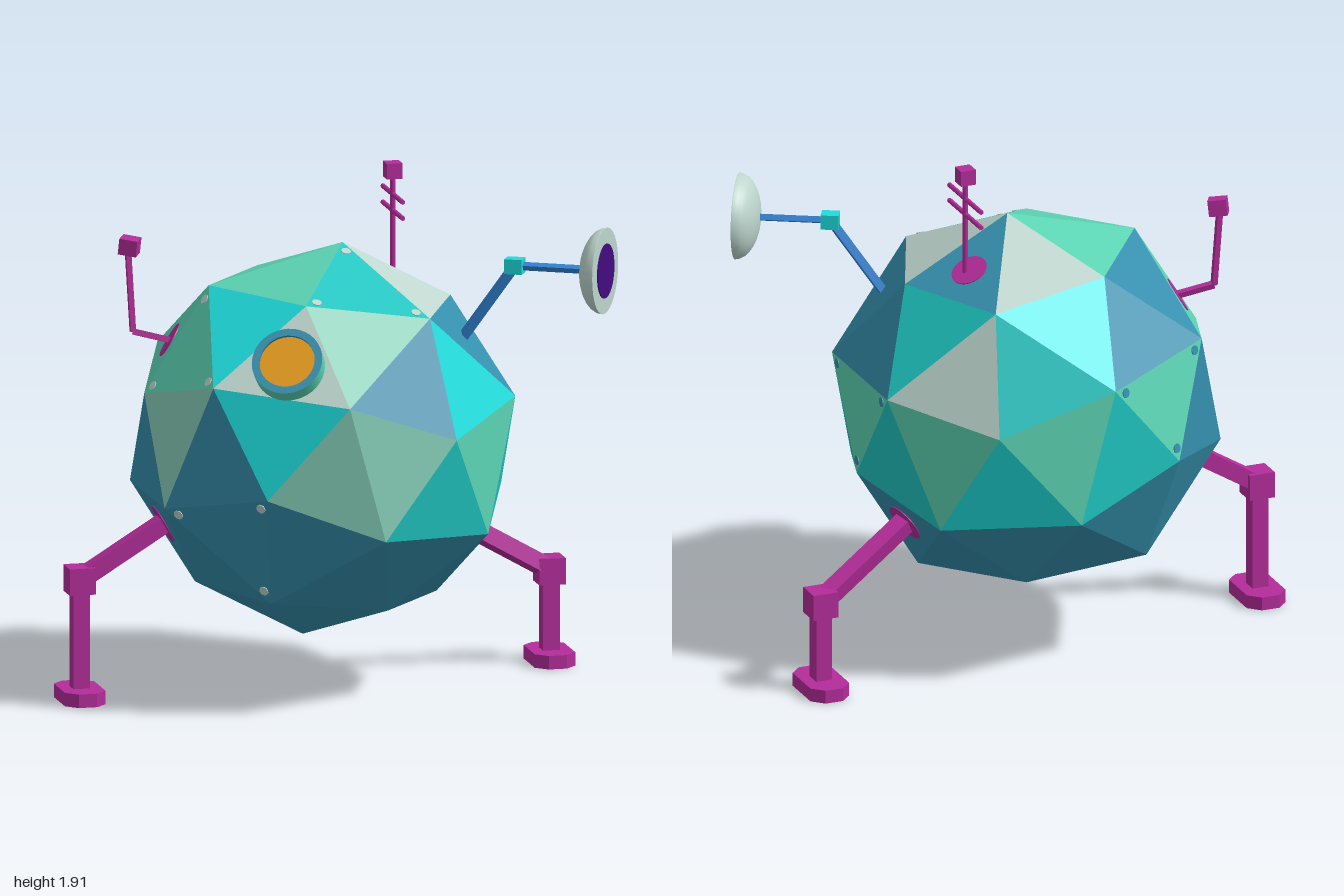
import * as THREE from 'three';

const mat = (name, color) => Object.assign(new THREE.MeshStandardMaterial({ color }), { name });
const M = {
  c: mat('cyan', 0x1edcdc),
  t: mat('turquoise', 0x20c8c4),
  m: mat('mint', 0x5cd4b4),
  p: mat('pale mint', 0x86ceb8),
  w: mat('pale grey', 0xbed6ce),
  b: mat('steel blue', 0x3590ae),
  magenta: mat('magenta', 0xb42c9a),
  arm: mat('arm blue', 0x3284d6),
  purple: mat('purple', 0x440a82),
  orange: mat('orange', 0xe59a14),
};
const V = (x, y, z) => new THREE.Vector3(x, y, z);
const UP = V(0, 1, 0);
const CENTRE = V(-0.015, 0.928, 0);

// Shell vertices: rings of [letter, polar angle, radius, azimuths]
const P = {};
const RINGS = [
  ['T', 0, 0.727, [0]],
  ['A', 37.38, 0.697, [0, 120, 240]],
  ['B', 41.81, 0.727, [60, 180, 300]],
  ['E', 70.53, 0.727, [22.24, 97.76, 142.24, 217.76, 262.24, 337.76]],
  ['G', 79.19, 0.697, [60, 180, 300]],
  ['H', 100.81, 0.697, [0, 120, 240]],
  ['K', 109.47, 0.727, [37.76, 82.24, 157.76, 202.24, 277.76, 322.24]],
  ['M', 138.19, 0.727, [0, 120, 240]],
  ['N', 142.62, 0.697, [60, 180, 300]],
  ['Z', 180, 0.727, [0]],
];
for (const [letter, polar, r, list] of RINGS) {
  for (const az of list) {
    const p = polar * Math.PI / 180, a = az * Math.PI / 180;
    P[letter + Math.round(az)] = V(Math.sin(p) * Math.cos(a), Math.cos(p), Math.sin(p) * Math.sin(a))
      .multiplyScalar(r).applyAxisAngle(V(0, 0, 1), -0.103).add(CENTRE);
  }
}

// Raised pentagons: apex, rim corners, colour of each rim edge's panel
const PENTAGONS = [
  ['A0', 'T0 B60 E22 E338 B300', 'wbbtb'],
  ['A120', 'T0 B180 E142 E98 B60', 'mcwpt'],
  ['A240', 'T0 B300 E262 E218 B180', 'wcbbm'],
  ['G60', 'B60 E98 K82 K38 E22', 'bptmc'],
  ['G300', 'B300 E338 K322 K278 E262', 'wmcmt'],
  ['G180', 'B180 E142 K158 K202 E218', 'mpbbm'],
  ['H0', 'E22 E338 K322 M0 K38', 'mtbbt'],
  ['H120', 'E142 E98 K82 M120 K158', 'cpbbb'],
  ['H240', 'E262 E218 K202 M240 K278', 'mbbbt'],
  ['N180', 'K158 K202 M240 Z0 M120', 'bbbbb'],
  ['N60', 'K82 K38 M0 Z0 M120', 'bbbbb'],
  ['N300', 'K278 K322 M0 Z0 M240', 'bbbbb'],
];

// Corners, middle and outward normal of one shell panel
function panel(...keys) {
  let pts = keys.map(k => P[k]);
  const mid = V(0, 0, 0).add(pts[0]).add(pts[1]).add(pts[2]).divideScalar(3);
  const normal = pts[1].clone().sub(pts[0]).cross(pts[2].clone().sub(pts[0])).normalize();
  if (normal.dot(mid.clone().sub(CENTRE)) < 0) {
    normal.negate();
    pts = [pts[0], pts[2], pts[1]];
  }
  return { pts, mid, normal };
}

function mesh(parent, name, geo, material, pos = V(0, 0, 0), dir = UP) {
  const m = new THREE.Mesh(geo, material);
  m.name = name;
  m.position.copy(pos);
  m.quaternion.setFromUnitVectors(UP, dir.clone().normalize());
  parent.add(m);
  return m;
}
function group(parent, name) {
  const g = new THREE.Group();
  g.name = name;
  parent.add(g);
  return g;
}
const box = (x, y = x, z = x) => new THREE.BoxGeometry(x, y, z);
const disc = (r, h, n = 32) => new THREE.CylinderGeometry(r, r, h, n);

// Square bar between two points
function bar(parent, name, a, b, t, material) {
  const d = b.clone().sub(a);
  return mesh(parent, name, box(t, d.length(), t), material, a.clone().add(b).multiplyScalar(0.5), d);
}

function buildShell(root) {
  const shell = group(root, 'shell');
  const byColour = {};
  for (const [apex, rim, colours] of PENTAGONS) {
    const keys = rim.split(' ');
    keys.forEach((k, i) => {
      const { pts } = panel(apex, k, keys[(i + 1) % 5]);
      (byColour[colours[i]] ??= []).push(...pts);
    });
  }
  for (const [c, pts] of Object.entries(byColour)) {
    const geo = new THREE.BufferGeometry().setFromPoints(pts);
    geo.computeVertexNormals();
    mesh(shell, M[c].name + ' panels', geo, M[c]);
  }
  // Rivets near the corners of some panels
  const riveted = [['H0', 'E22', 'E338', 'b'], ['A120', 'T0', 'B60', 'w'], ['H120', 'K158', 'M120', 'w'],
    ['G180', 'B180', 'E142', 'w'], ['H240', 'E262', 'E218', 'b']];
  for (const [a, b, c, colour] of riveted) {
    const f = panel(a, b, c);
    for (const p of f.pts) mesh(shell, 'rivet', disc(0.018, 0.006, 12), M[colour], p.clone().lerp(f.mid, 0.2), f.normal);
  }
}

function buildPorthole(root) {
  const g = group(root, 'porthole');
  const f = panel('A120', 'E142', 'E98');
  const at = h => f.mid.clone().addScaledVector(f.normal, h);
  const lathe = pts => new THREE.LatheGeometry(pts.map(p => new THREE.Vector2(...p)), 36);
  mesh(g, 'porthole collar', lathe([[0.13, -0.02], [0.13, 0.06]]), M.m, at(0), f.normal);
  mesh(g, 'porthole rim', lathe([[0.13, 0.06], [0.102, 0.06]]), M.b, at(0), f.normal);
  mesh(g, 'porthole inner wall', lathe([[0.102, 0.06], [0.102, 0.045]]), M.b, at(0), f.normal);
  mesh(g, 'porthole glass', disc(0.102, 0.008), M.orange, at(0.045), f.normal);
}

function buildDish(root) {
  const g = group(root, 'dish');
  const f = panel('A0', 'B60', 'E22');
  const elbow = V(0.627, 1.598, 0.308), rim = V(0.922, 1.598, 0.477), dir = V(0.85, 0, 0.52).normalize();
  bar(g, 'lower dish arm', f.mid.clone().addScaledVector(f.normal, -0.02), elbow, 0.03, M.arm);
  mesh(g, 'dish elbow', box(0.066, 0.055, 0.055), M.c, elbow).rotation.y = -0.5;
  bar(g, 'upper dish arm', elbow, rim.clone().addScaledVector(dir, -0.07), 0.022, M.arm);
  const bowl = [];
  for (let i = 0; i <= 8; i++) {
    const t = i / 8 * Math.PI / 2;
    bowl.push(new THREE.Vector2(0.158 * Math.sin(t), -0.085 * Math.cos(t)));
  }
  mesh(g, 'dish bowl', new THREE.LatheGeometry(bowl, 36), M.w, rim, dir);
  mesh(g, 'dish face', disc(0.158, 0.002, 36), M.w, rim, dir);
  mesh(g, 'dish receiver', disc(0.1, 0.006, 36), M.purple, rim.clone().addScaledVector(dir, 0.002), dir);
}

function buildAntennas(root) {
  // Straight mast with two cross bars
  const mast = group(root, 'mast');
  const f = panel('T0', 'B300', 'A0');
  const x = 0.281, z = -0.134;
  mesh(mast, 'mast plate', disc(0.068, 0.007), M.magenta, f.mid, f.normal);
  mesh(mast, 'mast rod', disc(0.01, 0.37, 10), M.magenta, V(x, 1.68, z));
  mesh(mast, 'mast tip', box(0.058), M.magenta, V(x, 1.88, z));
  for (const y of [1.73, 1.79]) mesh(mast, 'mast cross bar', disc(0.009, 0.3, 8), M.magenta, V(x, y, z), V(0, 0, 1));

  // Bent sensor stalk
  const sensor = group(root, 'sensor');
  const s = panel('G180', 'B180', 'E218');
  const bend = V(-0.682, 1.322, -0.172), top = V(-0.694, 1.61, -0.195);
  mesh(sensor, 'sensor plate', disc(0.068, 0.007), M.magenta, s.mid, s.normal);
  bar(sensor, 'sensor arm', s.mid, bend, 0.022, M.magenta);
  bar(sensor, 'sensor stalk', bend, top, 0.02, M.magenta);
  mesh(sensor, 'sensor head', box(0.068, 0.06, 0.06), M.magenta, V(-0.688, 1.635, -0.197))
    .rotation.set(0.1, -0.5, -0.08);
}

// Bent leg on an eight-sided foot
function buildLeg(root, name, face, knee) {
  const g = group(root, name);
  const f = panel(...face);
  mesh(g, 'leg plate', disc(0.076, 0.007), M.magenta, f.mid, f.normal);
  bar(g, 'thigh', f.mid.clone().lerp(knee, -0.1), knee, 0.062, M.magenta);
  mesh(g, 'knee', box(0.098), M.magenta, knee);
  mesh(g, 'shin', box(0.062, knee.y - 0.03, 0.062), M.magenta, V(knee.x, knee.y / 2 + 0.01, knee.z));
  const w = 0.076, l = 0.126, c = 0.042;
  const outline = [[w, l - c], [w - c, l], [c - w, l], [-w, l - c], [-w, c - l], [c - w, -l], [w - c, -l], [w, c - l]];
  const foot = new THREE.ExtrudeGeometry(new THREE.Shape(outline.map(p => new THREE.Vector2(...p))),
    { depth: 0.05, bevelEnabled: false });
  foot.rotateX(-Math.PI / 2);
  mesh(g, 'foot', foot, M.magenta, V(knee.x, 0, knee.z));
}

export function createModel() {
  const root = new THREE.Group();
  root.name = 'walking pod';
  buildShell(root);
  buildPorthole(root);
  buildDish(root);
  buildAntennas(root);
  buildLeg(root, 'rightLeg', ['N180', 'K158', 'K202'], V(-0.924, 0.45, 0));
  buildLeg(root, 'leftLeg', ['H0', 'M0', 'K322'], V(0.892, 0.345, -0.234));
  return root;
}
